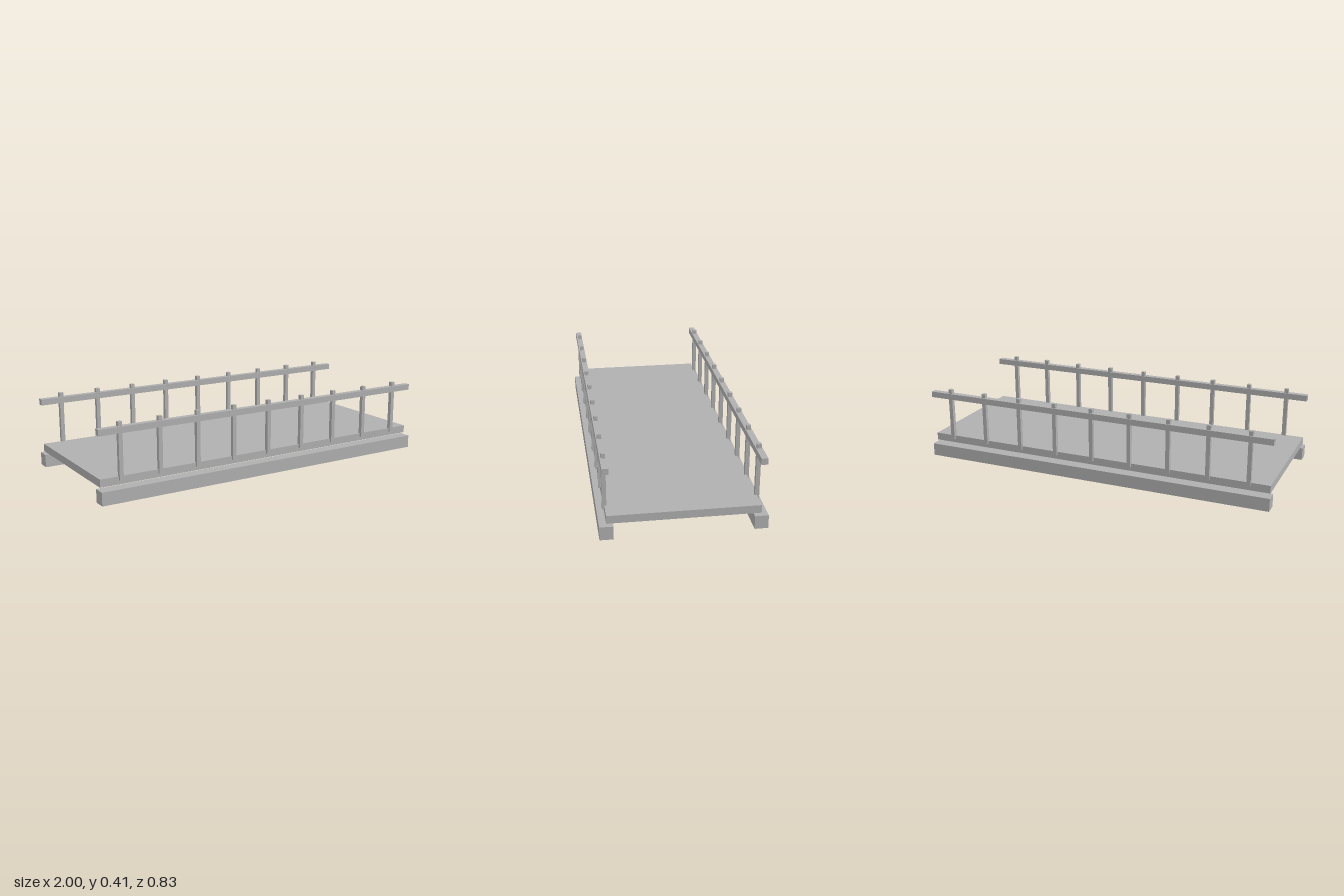
import * as THREE from 'three';

export function createModel() {
  const model = new THREE.Group();
  model.name = 'footbridge';
  const grey = new THREE.MeshStandardMaterial({ color: 0xb0b0b0 });
  grey.name = 'plain grey';

  const addBox = (parent, name, size, position) => {
    const mesh = new THREE.Mesh(new THREE.BoxGeometry(...size), grey);
    mesh.name = name;
    mesh.position.set(...position);
    parent.add(mesh);
  };

  // Walkway slab, floating just above the beams
  addBox(model, 'deck', [1.986, 0.042, 0.762], [0, 0.106, 0]);

  for (const side of [1, -1]) {
    const label = side > 0 ? 'front' : 'back';

    // Support beam under each long edge
    addBox(model, label + 'Beam', [2, 0.071, 0.069], [0, 0.0355, side * 0.3815]);

    // Railing: one handrail with nine posts passing through it
    const railing = new THREE.Group();
    railing.name = label + 'Railing';
    addBox(railing, 'handrail', [2, 0.033, 0.033], [0, 0.3665, side * 0.3815]);
    for (let i = -4; i <= 4; i++) {
      addBox(railing, 'post', [0.022, 0.3, 0.022], [i * 0.22, 0.257, side * 0.381]);
    }
    model.add(railing);
  }
  return model;
}
